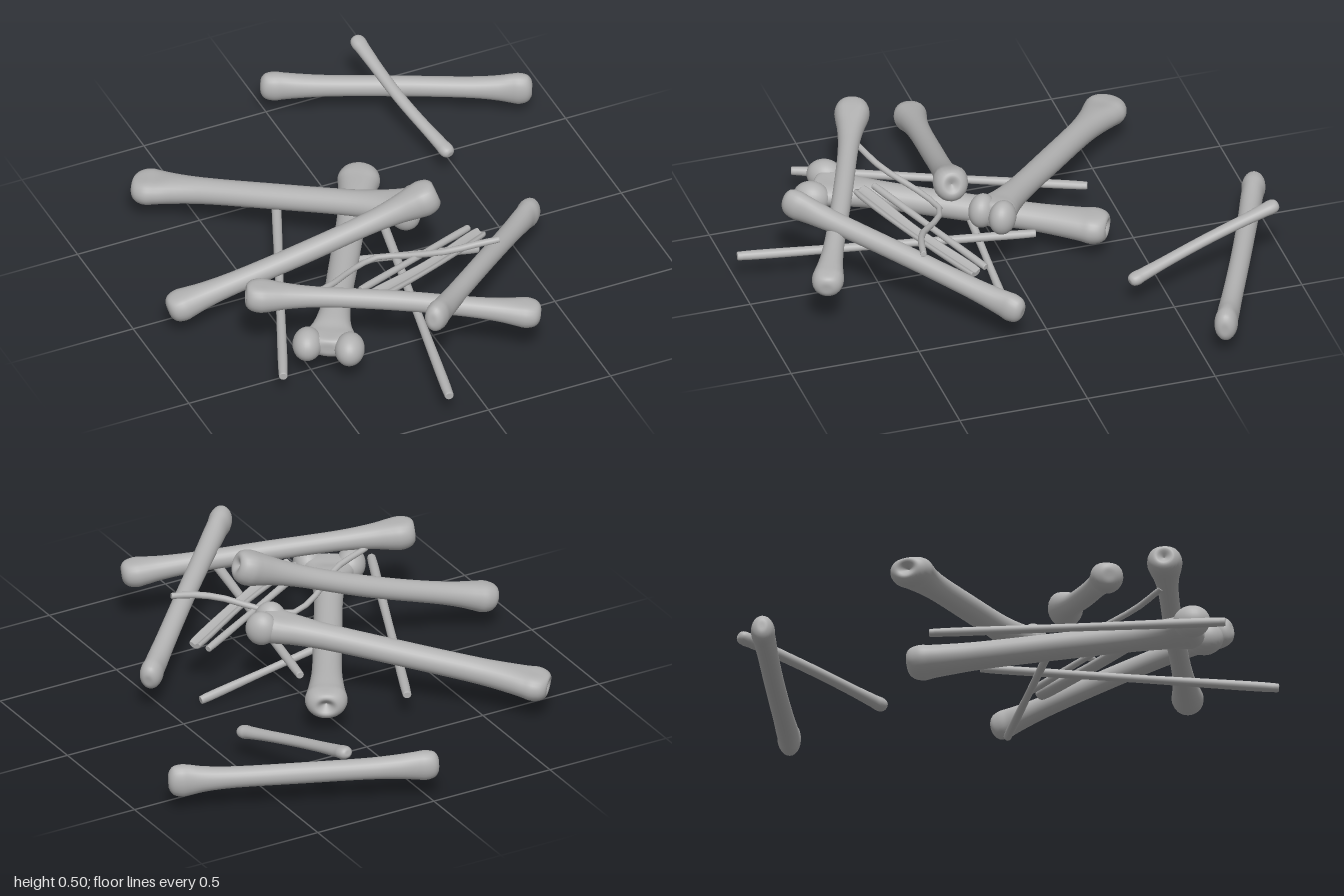
import * as THREE from 'three';

const material = new THREE.MeshStandardMaterial({ color: 0xb2b2b2 });
const V = (p) => new THREE.Vector3(...p);
const UP = new THREE.Vector3(0, 1, 0);

// Sideways and upward axes perpendicular to a direction
function frame(t) {
  const side = new THREE.Vector3().crossVectors(t, UP).normalize();
  return { side, rise: new THREE.Vector3().crossVectors(side, t).normalize() };
}

// Loft oval rings along a path. profile: [position 0..1, half width, half height];
// pinch dents the top of the swollen rings, groove dents the whole top.
function loft(path, profile, { rings = 64, sides = 24, pinch = 0, groove = 0 } = {}) {
  const curve = new THREE.CatmullRomCurve3(path.map(V));
  const shape = new THREE.CatmullRomCurve3(profile.map(V));
  const thin = Math.min(...profile.slice(2, -2).map((p) => p[1]));
  const pos = [], index = [];
  for (let i = 0; i <= rings; i++) {
    const s = shape.getPoint(i / rings);
    const u = THREE.MathUtils.clamp(s.x, 0, 1);
    const c = curve.getPointAt(u);
    const { side, rise } = frame(curve.getTangentAt(u));
    const dent = groove + pinch * Math.max(0, s.y / thin - 1);
    for (let j = 0; j < sides; j++) {
      const a = (j / sides) * Math.PI * 2;
      const k = 1 - dent * Math.max(0, Math.sin(a)) ** 4;
      const p = c.clone()
        .addScaledVector(side, Math.max(0, s.y) * Math.cos(a))
        .addScaledVector(rise, Math.max(0, s.z) * Math.sin(a) * k);
      pos.push(p.x, p.y, p.z);
      if (i < rings) {
        const b = i * sides + ((j + 1) % sides), q = i * sides + j;
        index.push(q, q + sides, b, b, q + sides, b + sides);
      }
    }
  }
  const g = new THREE.BufferGeometry();
  g.setAttribute('position', new THREE.Float32BufferAttribute(pos, 3));
  g.setIndex(index);
  g.computeVertexNormals();
  return g;
}

// Shaft with a rounded knob at each end; sizes are [half width, half height]
function boneProfile(head, shaft, tail, dimple = 0) {
  const at = (u, s, k = 1) => [u, s[0] * k, s[1] * k];
  const neck = (u, s) => [u, s[0] * 0.4 + shaft[0] * 0.6, s[1] * 0.4 + shaft[1] * 0.6];
  return [
    [dimple, 0, 0], at(0.002, head, 0.5), at(0.018, head, 0.86), at(0.05, head),
    at(0.085, head, 0.93), neck(0.14, head), at(0.24, shaft),
    at(0.5, shaft, 0.96), at(0.78, shaft), neck(0.875, tail),
    at(0.92, tail, 0.93), at(0.952, tail), at(0.982, tail, 0.86), at(0.998, tail, 0.5), [1, 0, 0],
  ];
}

export function createModel() {
  const model = new THREE.Group();
  model.name = 'bonePile';
  const add = (name, geometry, parent = model) => {
    const mesh = new THREE.Mesh(geometry, material);
    mesh.name = name;
    parent.add(mesh);
    return mesh;
  };

  // Two heavy thigh bones with paired rounded condyles at the far end
  const thighs = [
    { name: 'upperThighBone', from: [-0.705, 0.135, -0.64], to: [0.11, 0.285, 0.095],
      head: [0.082, 0.062], shaft: [0.051, 0.05], tail: [0.078, 0.066], spread: 0.045, knob: [0.05, 0.066, 0.06] },
    { name: 'lowerThighBone', from: [0.1, 0.135, -0.37], to: [-0.475, 0.16, 0.6],
      head: [0.08, 0.066], shaft: [0.057, 0.052], tail: [0.1, 0.056], spread: 0.08, knob: [0.056, 0.062, 0.07] },
  ];
  for (const b of thighs) {
    const group = new THREE.Group();
    group.name = b.name;
    model.add(group);
    add('thighShaft', loft([b.from, b.to], boneProfile(b.head, b.shaft, b.tail, 0.03),
      { rings: 72, sides: 28, pinch: 0.4 }), group);
    const dir = V(b.to).sub(V(b.from)).normalize();
    const { side, rise } = frame(dir);
    for (const s of [-1, 1]) {
      const knob = add('condyle', new THREE.SphereGeometry(1, 28, 18), group);
      knob.scale.set(...b.knob);
      knob.quaternion.setFromRotationMatrix(new THREE.Matrix4().makeBasis(side, rise, dir.clone().negate()));
      knob.position.copy(V(b.to)).addScaledVector(side, s * b.spread).addScaledVector(dir, s < 0 ? -0.01 : -0.025);
    }
  }

  // Long bones: path, head, shaft and tail sizes, end dimple
  const longBones = [
    ['highLongBone', [[0.13, 0.462, 0.25], [-0.38, 0.275, 0.165], [-0.9, 0.125, 0.095]],
      [0.066, 0.072], [0.043, 0.043], [0.062, 0.062], 0.02],
    ['frontLongBone', [[-0.71, 0.33, 0.37], [-0.2, 0.285, 0.575], [0.305, 0.218, 0.8]],
      [0.066, 0.066], [0.039, 0.04], [0.06, 0.058], 0.02],
    ['leaningLongBone', [[-0.148, 0.343, 0.82], [0.2, 0.26, 0.49], [0.583, 0.15, 0.12]],
      [0.043, 0.06], [0.039, 0.041], [0.043, 0.058], 0],
    ['rearLongBone', [[-0.03, 0.145, -0.985], [0.43, 0.138, -0.785], [0.895, 0.128, -0.57]],
      [0.045, 0.06], [0.039, 0.042], [0.044, 0.066], 0],
    ['rearShortBone', [[0.343, 0.275, -0.955], [0.385, 0.195, -0.65], [0.455, 0.118, -0.34]],
      [0.03, 0.026], [0.024, 0.021], [0.029, 0.026], 0],
  ];
  for (const [name, path, head, shaft, tail, dimple] of longBones) {
    add(name, loft(path, boneProfile(head, shaft, tail, dimple), { pinch: 0.3 }));
  }

  // Slim blunt-ended splints and the curved rib: path, start and end sizes, groove
  const slim = [
    ['rightSplint', [[-0.235, 0.11, -0.395], [-0.67, 0.11, 0.625]], [0.017, 0.015], [0.017, 0.017]],
    ['frontSplint', [[0.055, 0.135, -0.1], [-0.16, 0.118, 1]], [0.016, 0.015], [0.018, 0.017]],
    ['droppedSplint', [[-0.2, 0.128, 0.092], [0.365, 0.018, 0.106]], [0.014, 0.014], [0.015, 0.017]],
    ['wideSplint', [[-0.25, 0.26, 0.495], [0.04, 0.225, 0.37], [0.325, 0.19, 0.22]], [0.03, 0.02], [0.026, 0.02], 1.2],
    ['narrowSplint', [[-0.265, 0.255, 0.432], [0.295, 0.185, 0.172]], [0.013, 0.013], [0.013, 0.013]],
    ['curvedRib', [[-0.53, 0.28, 0.42], [-0.37, 0.26, 0.37], [-0.22, 0.225, 0.27], [-0.1, 0.21, 0.225],
      [0, 0.225, 0.28], [0.12, 0.265, 0.365], [0.22, 0.29, 0.4], [0.31, 0.3, 0.42]], [0.011, 0.011], [0.012, 0.012]],
  ];
  for (const [name, path, a, b, groove] of slim) {
    add(name, loft(path, [
      [0, 0, 0], [0, a[0] * 0.85, a[1] * 0.85], [0.02, ...a],
      [0.5, (a[0] + b[0]) * 0.47, (a[1] + b[1]) * 0.47],
      [0.98, ...b], [1, b[0] * 0.85, b[1] * 0.85], [1, 0, 0],
    ], { rings: 48, sides: 16, groove }));
  }
  return model;
}
